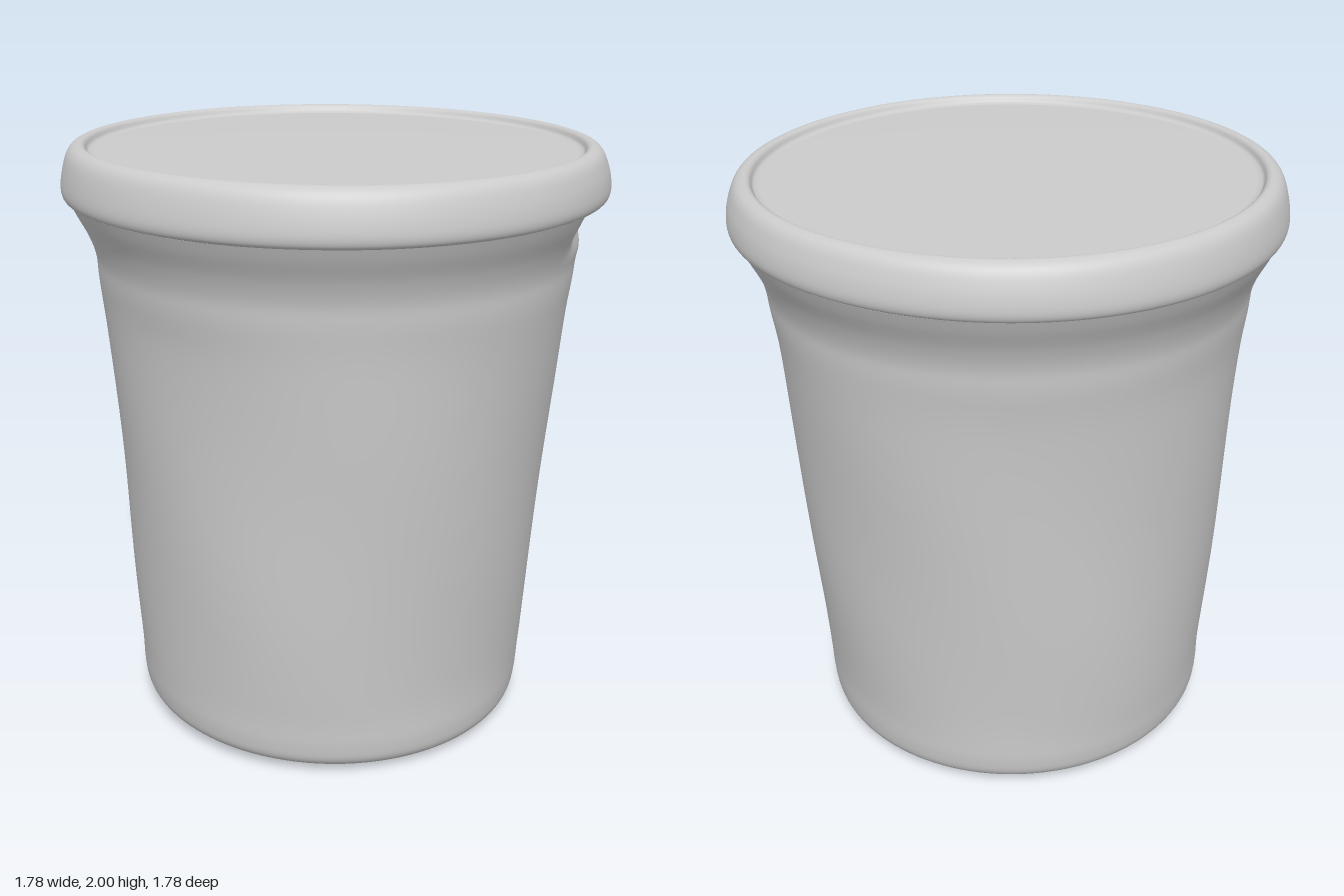
import * as THREE from 'three';
import { mergeVertices } from 'three/addons/utils/BufferGeometryUtils.js';

const SEGMENTS = 128;
const BASE_RADIUS = 0.57;
const BASE_Y = 0.016;
const smooth = THREE.MathUtils.smoothstep;

// Smooth curve through profile points [radius, y]
function profile(points, count) {
  const curve = new THREE.SplineCurve(points.map(([r, y]) => new THREE.Vector2(r, y)));
  return curve.getPoints(count);
}

// Move every vertex by a rule, then weld the seam and smooth the shading
function deform(geometry, rule) {
  const pos = geometry.attributes.position;
  const v = new THREE.Vector3();
  for (let i = 0; i < pos.count; i++) {
    v.fromBufferAttribute(pos, i);
    rule(v);
    pos.setXYZ(i, v.x, v.y, v.z);
  }
  geometry.deleteAttribute('uv');
  geometry.deleteAttribute('normal');
  const welded = mergeVertices(geometry, 1e-5);
  welded.computeVertexNormals();
  return welded;
}

// Slight lean and tilt of the lower tub, with soft hand-worn dents
function tubRule(v) {
  const { x, y, z } = v;
  const angle = Math.atan2(z, x);
  const low = 1 - smooth(y, 0.1, 1.6);
  const middle = smooth(y, 0.06, 0.3) * (1 - smooth(y, 1.45, 1.7));
  // Recess below the lid, on the left side towards the front
  const notch = smooth(angle, 0, 0.08) * (1 - smooth(angle, 0.7, 0.95)) * smooth(y, 1.66, 1.79);
  const dent = 0.005 * Math.sin(3 * angle + 2.5 * y) + 0.003 * Math.sin(5 * angle - 6 * y);
  const scale = 1 + middle * dent - 0.065 * notch;
  v.x = x * scale - 0.022 * low;
  v.z = z * scale - 0.01 * low;
  v.y = y + (1 - smooth(y, 0, 0.4)) * (-0.018 * x - 0.01 * z);
}

function lidRule(v) {
  const angle = Math.atan2(v.z, v.x);
  const scale = 1 + 0.003 * Math.sin(4 * angle + 1);
  v.y -= 0.006 * (v.x + 0.8) * smooth(v.y, 1.9, 1.96);
  v.x *= scale;
  v.z *= scale;
}

export function createModel() {
  const group = new THREE.Group();
  const material = new THREE.MeshStandardMaterial({ color: 0xcccccc, side: THREE.DoubleSide });
  const add = (name, geometry) => {
    const mesh = new THREE.Mesh(geometry, material);
    mesh.name = name;
    group.add(mesh);
  };

  // Tapered wall with rounded foot and flared neck
  const wall = profile([
    [BASE_RADIUS, BASE_Y], [0.63, 0.028], [0.672, 0.06], [0.686, 0.12], [0.692, 0.25],
    [0.715, 0.6], [0.738, 1.0], [0.766, 1.4], [0.785, 1.57], [0.793, 1.65],
    [0.815, 1.72], [0.85, 1.79], [0.868, 1.83],
  ], 90);
  add('tubWall', deform(new THREE.LatheGeometry(wall, SEGMENTS), tubRule));

  // Flat base with a four-cornered opening
  const base = new THREE.Shape();
  for (let i = 0; i < SEGMENTS; i++) {
    const a = (i / SEGMENTS) * Math.PI * 2;
    const x = Math.cos(a) * BASE_RADIUS, z = Math.sin(a) * BASE_RADIUS;
    if (i === 0) base.moveTo(x, z);
    else base.lineTo(x, z);
  }
  const opening = [[0.26, 0.04], [-0.17, -0.41], [-0.48, -0.09], [-0.26, 0.41]];
  base.holes.push(new THREE.Path(opening.map(([x, z]) => new THREE.Vector2(x, z))));
  const baseGeometry = new THREE.ShapeGeometry(base).rotateX(Math.PI / 2).translate(0, BASE_Y, 0);
  add('tubBase', deform(baseGeometry, tubRule));

  // Lid: underside, rounded band, raised rim and shallow recessed top
  const lid = [
    new THREE.Vector2(0.77, 1.845),
    ...profile([
      [0.862, 1.828], [0.881, 1.838], [0.888, 1.865], [0.882, 1.91], [0.868, 1.96],
      [0.85, 1.988], [0.825, 2.0], [0.808, 1.995], [0.797, 1.978], [0.78, 1.972],
    ], 44),
    new THREE.Vector2(0.7, 1.974),
    new THREE.Vector2(0.4, 1.977),
    new THREE.Vector2(0, 1.977),
  ];
  add('lid', deform(new THREE.LatheGeometry(lid, SEGMENTS), lidRule));

  return group;
}
